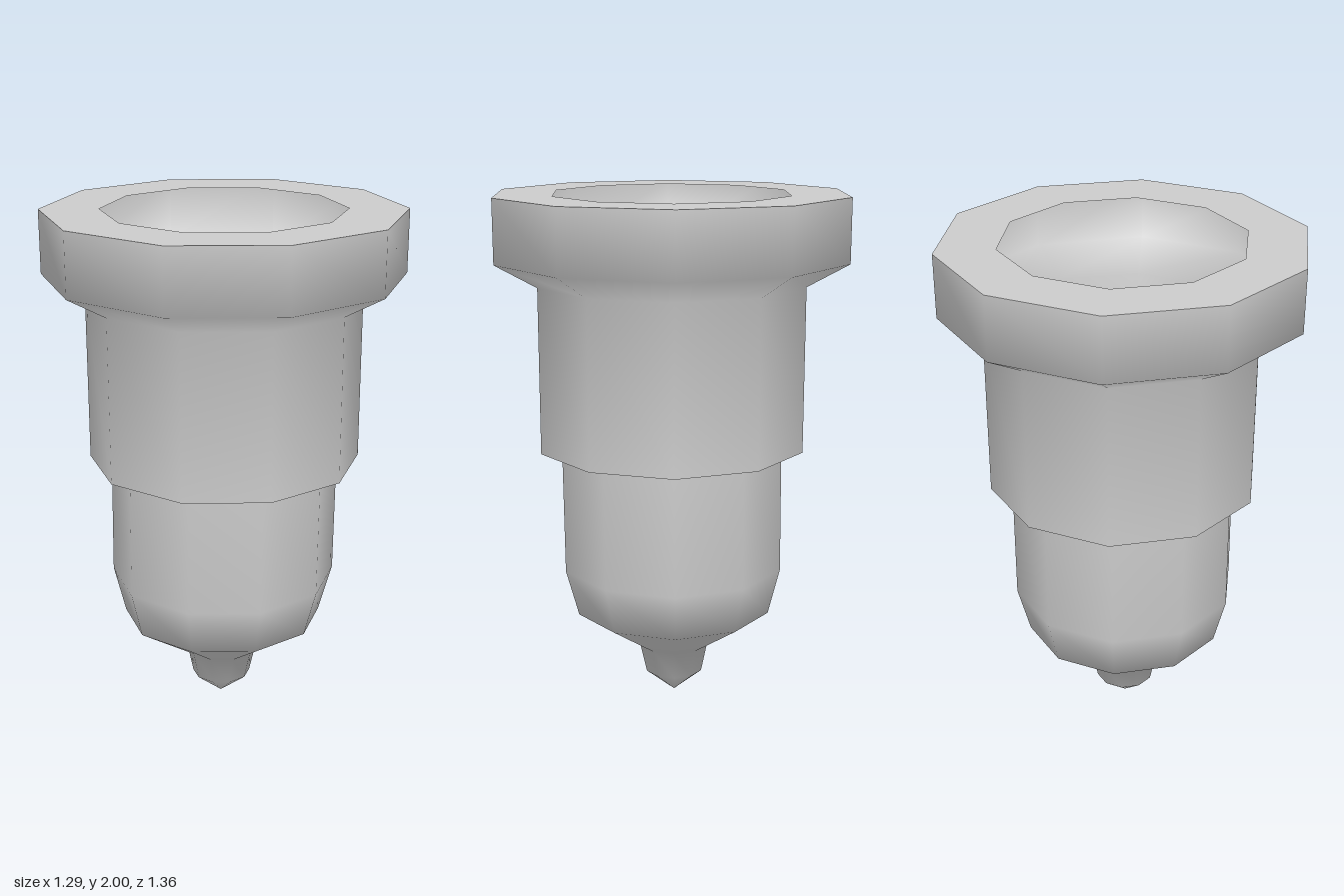
import * as THREE from 'three';

const SIDES = 10;

// Thin turned shell from [radius, height] pairs, bottom to top
function shell(name, profile) {
  const points = profile.map(([r, y]) => new THREE.Vector2(r, y));
  const geometry = new THREE.LatheGeometry(points, SIDES);
  const material = new THREE.MeshStandardMaterial({ color: 0xcccccc, side: THREE.DoubleSide });
  const mesh = new THREE.Mesh(geometry, material);
  mesh.name = name;
  return mesh;
}

// The lower end leans slightly towards -x
function lean(mesh, fromY, amount) {
  const p = mesh.geometry.attributes.position;
  for (let i = 0; i < p.count; i++) {
    const t = Math.max(0, (fromY - p.getY(i)) / fromY);
    p.setX(i, p.getX(i) - amount * t);
  }
}

export function createModel() {
  const model = new THREE.Group();
  model.name = 'steppedVessel';

  // Flat rim around the opening
  model.add(shell('rim', [[0.68, 2], [0.457, 2]]));

  // Collar narrowing into the sleeve
  model.add(shell('collarAndSleeve', [
    [0.52, 1.04], [0.52, 1.67], [0.68, 1.76], [0.68, 2],
  ]));

  // Step from the sleeve in to the body
  model.add(shell('sleeveLedge', [[0.438, 1.04], [0.52, 1.04]]));

  // Hollow body, tapering to the pointed tip
  const body = shell('bodyAndTip', [
    [0, 0], [0.115, 0.095], [0.14, 0.21], [0.39, 0.375], [0.438, 0.56], [0.438, 1.04],
  ]);
  lean(body, 0.9, 0.015);
  model.add(body);

  return model;
}
